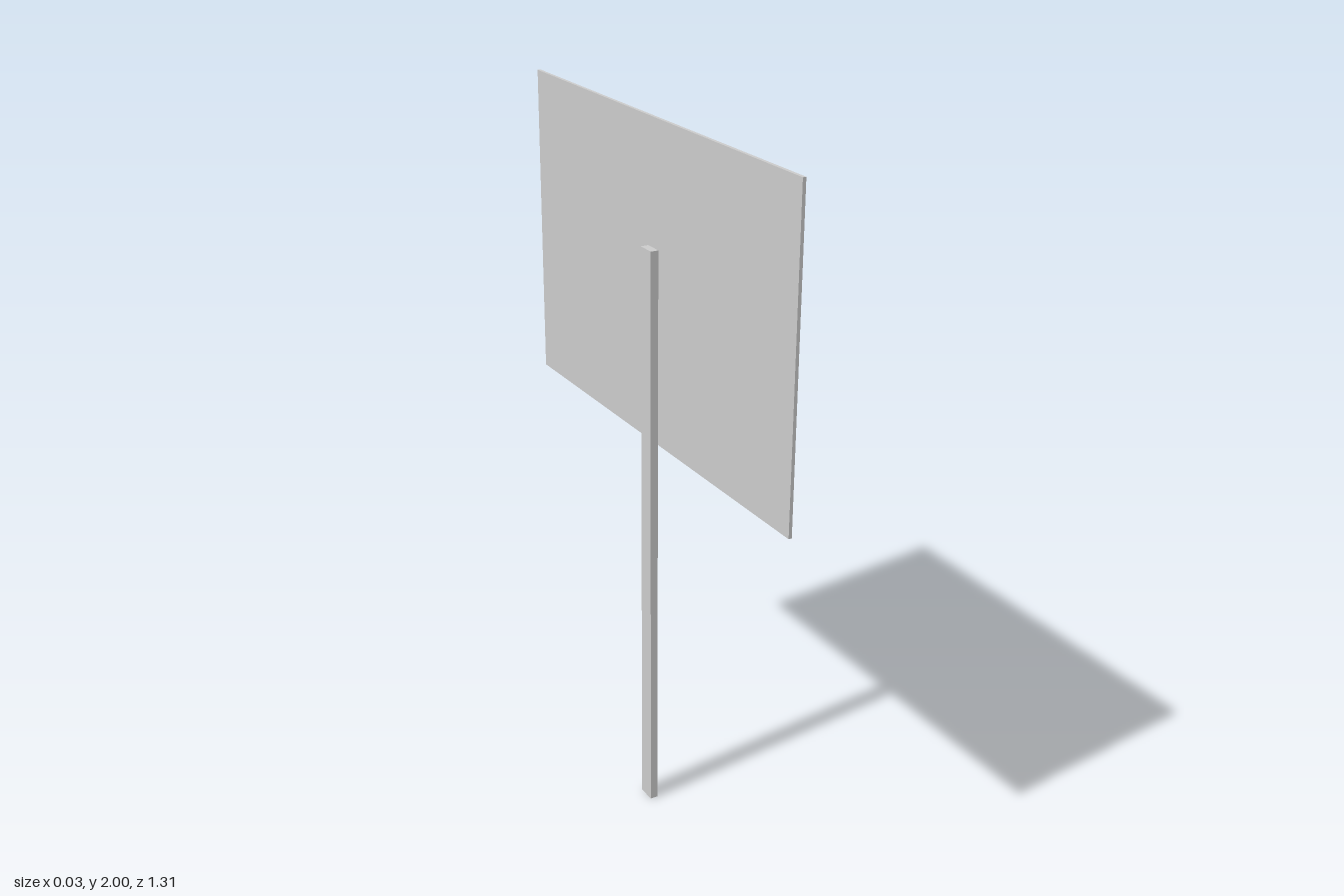
import * as THREE from 'three';

export function createModel() {
  const group = new THREE.Group();
  const material = new THREE.MeshStandardMaterial({ color: 0xcccccc, flatShading: true });

  // Box given by its minimum and maximum corners
  const addBox = (name, min, max) => {
    const size = max.map((v, i) => v - min[i]);
    const mesh = new THREE.Mesh(new THREE.BoxGeometry(...size), material);
    mesh.position.set(...max.map((v, i) => (v + min[i]) / 2));
    mesh.name = name;
    group.add(mesh);
  };

  // Upright post, behind the panel
  addBox('post', [-0.0155, 0, -0.026], [0.0065, 1.668, 0.026]);
  // Thin sign panel, facing +x
  addBox('signPanel', [0.0065, 1.132, -0.655], [0.0155, 2, 0.655]);

  return group;
}
